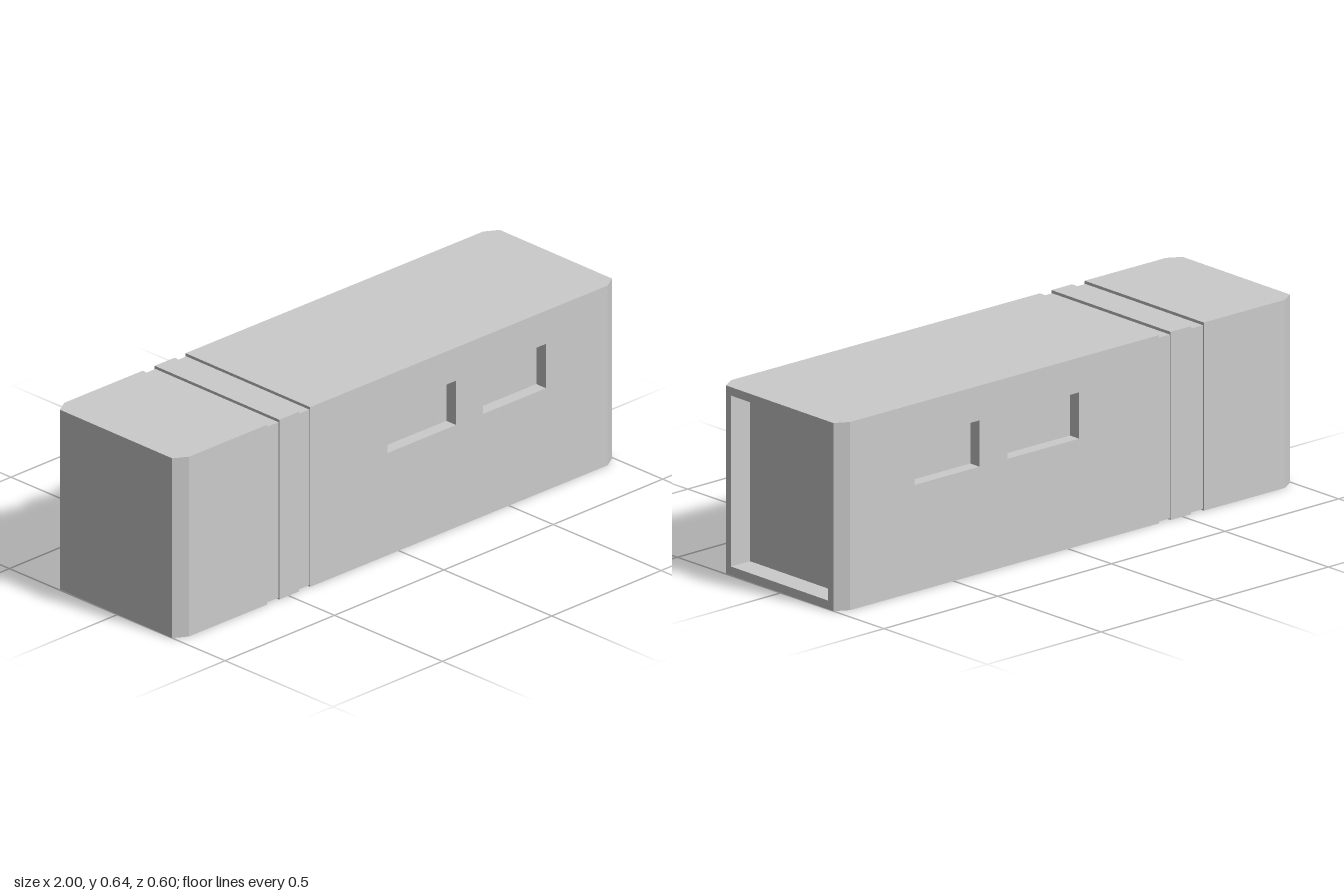
import * as THREE from 'three';

const H = 0.645;        // height
const L = 0.998;        // half length
const W = 0.291;        // half width
const END = 0.2625;     // half width of the end faces
const CH = 0.95;        // x where the corner chamfers begin
const OPEN = 0.2375;    // half width of the end opening
const BACK = 0.915;     // x of the recessed end wall
const MAIN = -0.4;      // x where the main section begins
const DEPTH = 0.045;    // window recess depth

const material = new THREE.MeshStandardMaterial({ color: 0xcccccc, flatShading: true });

export function createModel() {
  const model = new THREE.Group();
  model.name = 'container';

  const add = (name, geometry) => {
    const mesh = new THREE.Mesh(geometry, material);
    mesh.name = name;
    model.add(mesh);
    return mesh;
  };

  // box given by its limits, centred across z
  const block = (name, x0, x1, y0, y1, halfWidth) =>
    add(name, new THREE.BoxGeometry(x1 - x0, y1 - y0, halfWidth * 2)
      .translate((x0 + x1) / 2, (y0 + y1) / 2, 0));

  // floor-plan outline raised to the full height
  const raised = (name, points) => {
    const shape = new THREE.Shape(points.map(([x, z]) => new THREE.Vector2(x, -z)));
    return add(name, new THREE.ExtrudeGeometry(shape, { depth: H, bevelEnabled: false })
      .rotateX(-Math.PI / 2));
  };

  // closed end with chamfered corners
  raised('closedEnd', [
    [-0.595, W], [-CH, W], [-L, END], [-L, -END], [-CH, -W], [-0.595, -W],
  ]);

  // two shallow grooves around the body with a raised band between them
  for (const [x0, x1] of [[-0.595, -0.54], [-0.45, MAIN]]) {
    block('groove', x0, x1, 0.005, H - 0.01, W - 0.004);
  }
  block('band', -0.54, -0.45, 0, H, W);

  // main core; its end face is the recessed wall of the open end
  block('mainCore', MAIN, BACK, 0, H, W - DEPTH);

  // side panels with window recesses, and chamfered jambs of the open end
  for (const side of [1, -1]) {
    const panel = new THREE.Shape([
      new THREE.Vector2(MAIN, 0), new THREE.Vector2(BACK, 0),
      new THREE.Vector2(BACK, H), new THREE.Vector2(MAIN, H),
    ]);
    for (const [x0, x1] of [[-0.05, 0.262], [0.385, 0.67]]) {
      panel.holes.push(new THREE.Path([
        new THREE.Vector2(x0, 0.367), new THREE.Vector2(x0, 0.526),
        new THREE.Vector2(x1, 0.526), new THREE.Vector2(x1, 0.367),
      ]));
    }
    add(side > 0 ? 'frontPanel' : 'backPanel',
      new THREE.ExtrudeGeometry(panel, { depth: DEPTH, bevelEnabled: false })
        .translate(0, 0, side > 0 ? W - DEPTH : -W));

    raised('endJamb', [
      [BACK, OPEN], [BACK, W], [CH, W], [L, END], [L, OPEN],
    ].map(([x, z]) => [x, z * side]));
  }

  // top and bottom of the end frame
  block('endLintel', BACK, L, 0.616, H, OPEN);
  block('endSill', BACK, L, 0, 0.03, OPEN);

  // the whole body sits very slightly askew
  model.rotation.y = -0.0075;
  return model;
}
